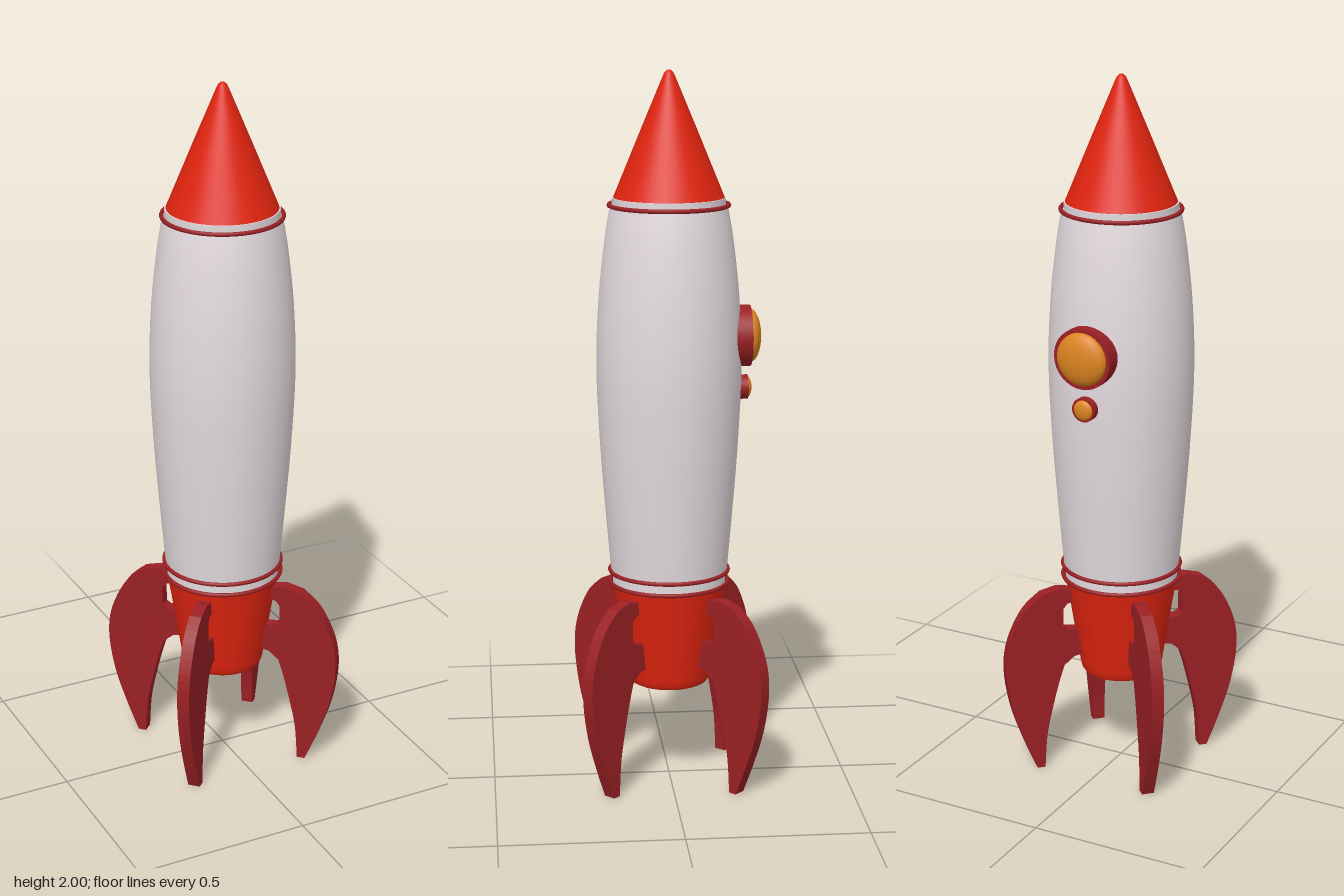
import * as THREE from 'three';

const mat = (name, color, side = THREE.FrontSide) => {
  const m = new THREE.MeshStandardMaterial({ color, side });
  m.name = name;
  return m;
};

export function createModel() {
  const rocket = new THREE.Group();
  rocket.name = 'rocket';
  const red = mat('bright red', 0xe0240f, THREE.DoubleSide);
  const darkRed = mat('dark red', 0x9a2024);
  const white = mat('off white', 0xe4dbdf);
  const amber = mat('amber', 0xdc8420);

  const add = (parent, name, geometry, material) => {
    const mesh = new THREE.Mesh(geometry, material);
    mesh.name = name;
    parent.add(mesh);
    return mesh;
  };
  const lathe = (points, segments = 40) =>
    new THREE.LatheGeometry(points.map(([r, y]) => new THREE.Vector2(r, y)), segments);

  // Barrel-shaped hull, smoothed from a few radii
  const hullCurve = new THREE.SplineCurve(
    [[0.163, 0.605], [0.177, 0.77], [0.192, 0.97], [0.201, 1.19], [0.194, 1.38], [0.177, 1.54], [0.161, 1.635]]
      .map(([r, y]) => new THREE.Vector2(r, y)));
  add(rocket, 'hull', new THREE.LatheGeometry(hullCurve.getPoints(28), 40), white);

  // Recessed white collars and the dark bands around them
  const collar = (name, r, y0, y1) =>
    add(rocket, name, new THREE.CylinderGeometry(r, r, y1 - y0, 40), white).position.y = (y0 + y1) / 2;
  collar('lowerCollar', 0.158, 0.565, 0.615);
  collar('upperCollar', 0.156, 1.625, 1.657);
  const band = (name, r, y) => {
    const ring = add(rocket, name, new THREE.TorusGeometry(r - 0.006, 0.006, 8, 48), darkRed);
    ring.rotation.x = Math.PI / 2;
    ring.position.y = y;
  };
  band('hullBaseBand', 0.172, 0.608);
  band('engineBand', 0.172, 0.575);
  band('hullTopBand', 0.17, 1.636);

  // Nose cone with a small rounded tip
  add(rocket, 'noseCone', lathe([[0, 1.655], [0.153, 1.655]]), red);
  add(rocket, 'noseConeShell', lathe([[0.153, 1.655], [0.08, 1.832], [0.018, 1.98], [0.012, 1.993], [0.005, 1.999], [0, 2]]), red);

  // Tapered engine with a hollow underside
  add(rocket, 'engine', lathe([[0.108, 0.284], [0.114, 0.292], [0.118, 0.31], [0.132, 0.4], [0.146, 0.49], [0.16, 0.572]]), red);
  add(rocket, 'engineRim', lathe([[0.082, 0.288], [0.09, 0.281], [0.1, 0.28], [0.108, 0.284]]), red);
  add(rocket, 'engineBore', lathe([[0, 0.34], [0.07, 0.34], [0.082, 0.288]]), red);

  // Four curved fins on the diagonals, notched where they meet the engine
  const fin = new THREE.Shape();
  fin.moveTo(0.235, 0);
  fin.lineTo(0.258, 0);
  fin.splineThru([[0.298, 0.1], [0.33, 0.2], [0.346, 0.31], [0.335, 0.4], [0.292, 0.49], [0.238, 0.54]]
    .map(([r, y]) => new THREE.Vector2(r, y)));
  [[0.19, 0.552], [0.12, 0.54], [0.12, 0.515], [0.165, 0.505], [0.177, 0.49], [0.177, 0.435], [0.165, 0.425],
    [0.11, 0.418], [0.11, 0.345], [0.145, 0.34], [0.175, 0.315]].forEach(([r, y]) => fin.lineTo(r, y));
  fin.splineThru([[0.192, 0.26], [0.212, 0.18], [0.228, 0.1], [0.235, 0]]
    .map(([r, y]) => new THREE.Vector2(r, y)));
  const thickness = 0.035;
  const finGeometry = new THREE.ExtrudeGeometry(fin, { depth: thickness, bevelEnabled: false, curveSegments: 4 });
  finGeometry.translate(0, 0, -thickness / 2);
  for (let i = 0; i < 4; i++) {
    add(rocket, 'fin' + (i + 1), finGeometry, darkRed).rotation.y = Math.PI / 4 + i * Math.PI / 2;
  }

  // Round portholes on the back: dark frame with a domed amber pane
  const porthole = (name, y, frameR, paneR, rimZ, domeDepth) => {
    const group = new THREE.Group();
    group.name = name;
    group.position.y = y;
    const frameDepth = rimZ - 0.17;
    const frame = add(group, name + 'Frame', new THREE.CylinderGeometry(frameR, frameR, frameDepth, 32), darkRed);
    frame.rotation.x = Math.PI / 2;
    frame.position.z = -(rimZ - frameDepth / 2);
    const pane = add(group, name + 'Pane', new THREE.SphereGeometry(1, 32, 10, 0, Math.PI * 2, 0, Math.PI / 2), amber);
    pane.scale.set(paneR, domeDepth, paneR);
    pane.rotation.x = -Math.PI / 2;
    pane.position.z = -rimZ;
    rocket.add(group);
  };
  porthole('largePorthole', 1.272, 0.085, 0.074, 0.225, 0.03);
  porthole('smallPorthole', 1.127, 0.034, 0.028, 0.219, 0.011);

  return rocket;
}
